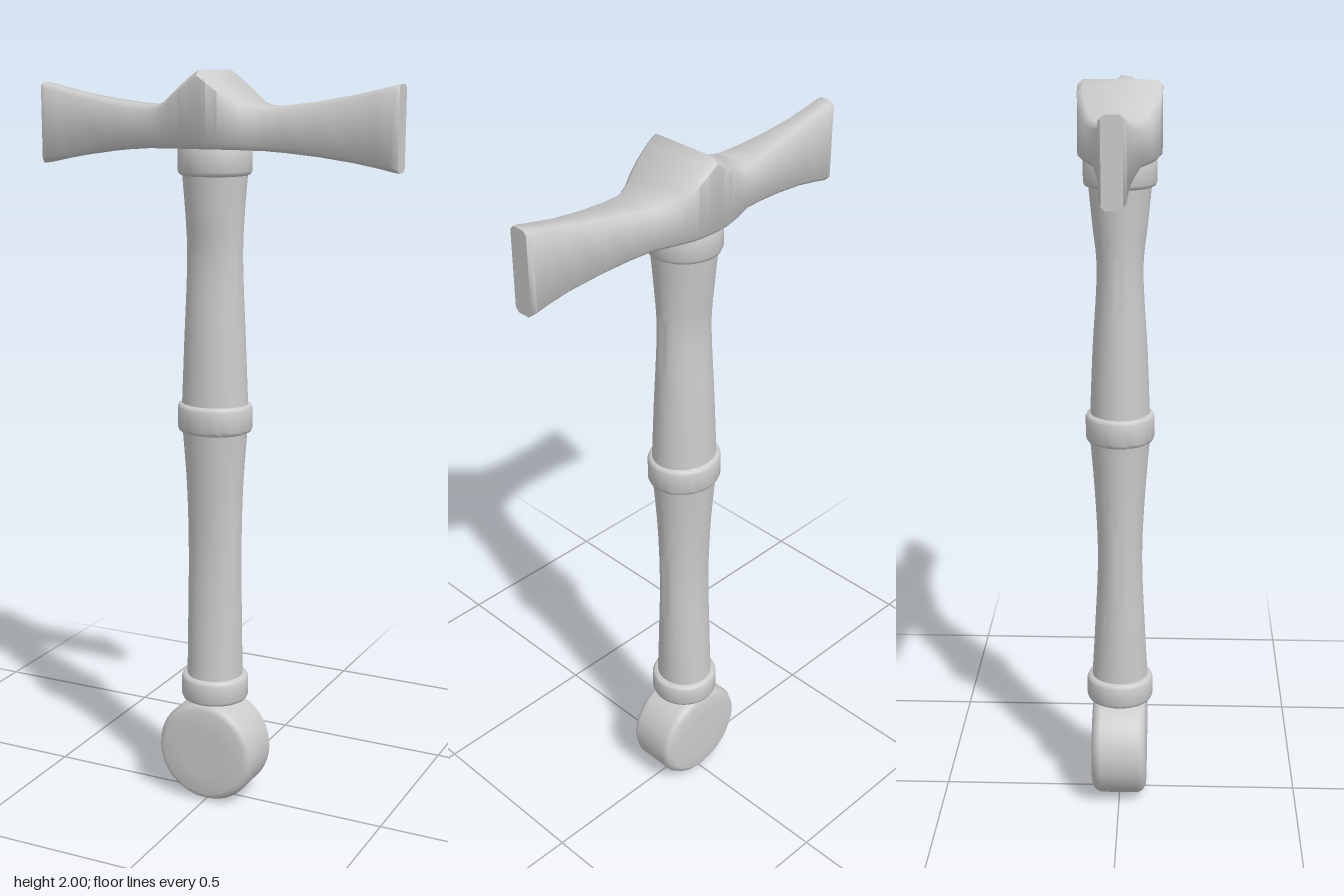
import * as THREE from 'three';
import { toCreasedNormals } from 'three/addons/utils/BufferGeometryUtils.js';

const material = new THREE.MeshStandardMaterial({ color: 0xcccccc });

// Skin a list of equal-sized rings of [x, y, z] points and close both ends
function loft(rings, crease) {
  const n = rings[0].length, last = rings.length - 1;
  const positions = rings.flat(2), index = [];
  for (let i = 0; i < last; i++) {
    for (let j = 0; j < n; j++) {
      const k = (j + 1) % n;
      const a = i * n + j, b = a + n, c = i * n + k, d = c + n;
      index.push(a, b, c, c, b, d);
    }
  }
  for (const end of [0, last]) {
    const centre = positions.length / 3;
    for (let axis = 0; axis < 3; axis++) {
      positions.push(rings[end].reduce((sum, p) => sum + p[axis], 0) / n);
    }
    for (let j = 0; j < n; j++) {
      const a = end * n + j, b = end * n + (j + 1) % n;
      index.push(centre, ...(end ? [b, a] : [a, b]));
    }
  }
  const geometry = new THREE.BufferGeometry();
  geometry.setAttribute('position', new THREE.Float32BufferAttribute(positions, 3));
  geometry.setIndex(index);
  return toCreasedNormals(geometry, crease);
}

// Smoothly resample a few control triples
function smooth(points, steps) {
  const curve = new THREE.CatmullRomCurve3(points.map(p => new THREE.Vector3(...p)));
  return curve.getPoints(steps).map(p => p.toArray());
}

// Oval handle segment from [half width, y, half depth] sections
function gripGeometry(sections) {
  const sides = 40;
  return loft(smooth(sections, 20).map(([rx, y, rz]) =>
    Array.from({ length: sides }, (_, j) => {
      const t = j / sides * Math.PI * 2;
      return [rx * Math.cos(t), y, rz * Math.sin(t)];
    })), 0.8);
}

// Round-edged oval ring around the handle
function collarGeometry(y0, y1, rx, rz) {
  const b = 0.012, inner = rx * 0.75;
  const profile = [
    [inner, y0], [rx - b, y0], [rx - b * 0.3, y0 + b * 0.3], [rx, y0 + b],
    [rx, y1 - b], [rx - b * 0.3, y1 - b * 0.3], [rx - b, y1], [inner, y1],
  ].map(p => new THREE.Vector2(...p));
  return toCreasedNormals(new THREE.LatheGeometry(profile, 40).scale(1, 1, rz / rx), 0.9);
}

// Chamfered cross-section of the guard at x
function guardRing(x, top, bottom, z, c) {
  return [
    [top, z - c], [top, c - z], [top - c, -z], [bottom + c, -z],
    [bottom, c - z], [bottom, z - c], [bottom + c, z], [top - c, z],
  ].map(([y, depth]) => [x, y, depth]);
}

function guardGeometry() {
  // x, top, bottom, half depth, chamfer from the peak outwards
  const half = [
    [0, 2.0, 1.805, 0.108, 0.014],
    [0.025, 1.983, 1.805, 0.107, 0.014],
    [0.055, 1.96, 1.805, 0.104, 0.014],
    [0.085, 1.938, 1.805, 0.096, 0.014],
    [0.11, 1.92, 1.804, 0.086, 0.014],
    [0.135, 1.913, 1.803, 0.076, 0.014],
    [0.165, 1.911, 1.802, 0.066, 0.014],
    [0.22, 1.915, 1.798, 0.057, 0.014],
    [0.3, 1.925, 1.79, 0.046, 0.013],
    [0.39, 1.941, 1.777, 0.035, 0.012],
    [0.45, 1.954, 1.766, 0.033, 0.012],
    [0.492, 1.964, 1.757, 0.032, 0.012],
    [0.506, 1.967, 1.754, 0.026, 0.01],
  ];
  const mirrored = half.slice(1).reverse().map(([x, ...rest]) => [-x, ...rest]);
  return loft([...mirrored, ...half].map(section => guardRing(...section)), 0.85);
}

// Thick upright disc with a softened rim
function pommelGeometry() {
  const profile = [
    [0, -0.077], [0.07, -0.077], [0.122, -0.076], [0.137, -0.067], [0.145, -0.052],
    [0.145, 0.052], [0.137, 0.067], [0.122, 0.076], [0.07, 0.077], [0, 0.077],
  ].map(p => new THREE.Vector2(...p));
  return new THREE.LatheGeometry(profile, 48).rotateX(Math.PI / 2).translate(0, 0.148, 0);
}

export function createModel() {
  const model = new THREE.Group();
  model.name = 'hilt';
  const add = (name, geometry) => {
    const mesh = new THREE.Mesh(geometry, material);
    mesh.name = name;
    model.add(mesh);
  };

  add('pommel', pommelGeometry());
  add('lowerCollar', collarGeometry(0.293, 0.365, 0.093, 0.092));
  add('lowerGrip', gripGeometry([
    [0.077, 0.34, 0.079], [0.076, 0.5, 0.07], [0.075, 0.72, 0.061],
    [0.078, 0.9, 0.068], [0.09, 1.08, 0.082],
  ]));
  add('middleCollar', collarGeometry(1.057, 1.135, 0.102, 0.092));
  add('upperGrip', gripGeometry([
    [0.092, 1.1, 0.081], [0.084, 1.3, 0.073], [0.076, 1.53, 0.061],
    [0.079, 1.64, 0.072], [0.088, 1.76, 0.084],
  ]));
  add('upperCollar', collarGeometry(1.735, 1.815, 0.097, 0.095));
  add('crossGuard', guardGeometry());
  return model;
}
